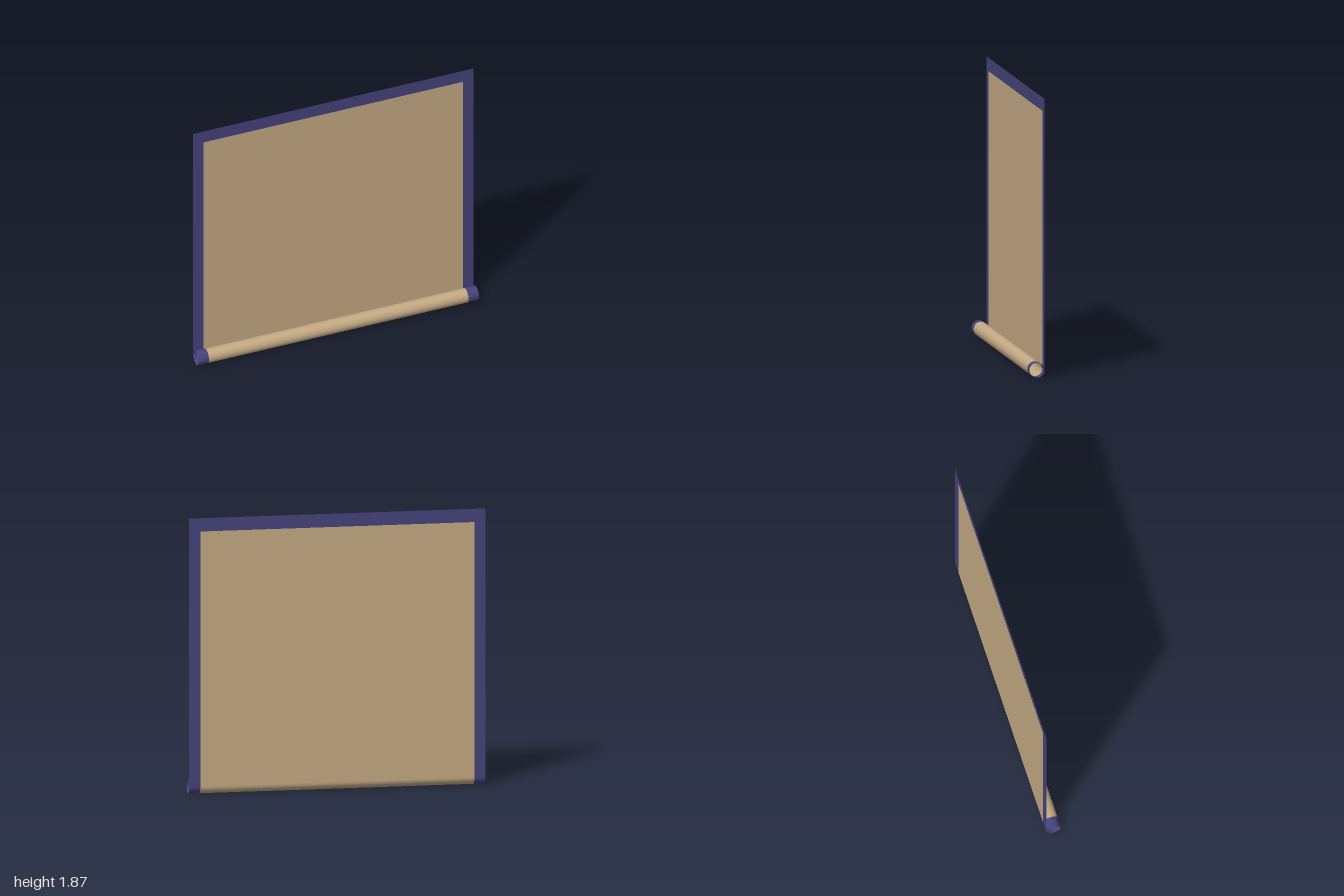
import * as THREE from 'three';

const RADIUS = 0.052, HEIGHT = 1.87, BORDER_Y = 1.78, BORDER_X = 0.925;

// Sweeps a [y, z] profile, listed from top to bottom, straight across from x0 to x1.
function sheet(profile, x0, x1) {
  const positions = [], indices = [];
  profile.forEach(([y, z], j) => {
    positions.push(x0, y, z, x1, y, z);
    if (j > 0) {
      const a = 2 * (j - 1);
      indices.push(a, a + 2, a + 3, a, a + 3, a + 1);
    }
  });
  const geometry = new THREE.BufferGeometry();
  geometry.setAttribute('position', new THREE.Float32BufferAttribute(positions, 3));
  geometry.setIndex(indices);
  geometry.computeVertexNormals();
  return geometry;
}

// One turn under, forward and back over, tightening slightly so it tucks inside the sheet.
function rollProfile() {
  const points = [], steps = 48;
  for (let i = 0; i <= steps; i++) {
    const t = i / steps, angle = t * Math.PI * 2;
    const r = RADIUS - 0.004 * t;
    points.push([RADIUS - r * Math.sin(angle), -r * Math.cos(angle)]);
  }
  return points;
}

export function createModel() {
  const group = new THREE.Group();
  group.name = 'hangingScroll';
  const paper = new THREE.MeshStandardMaterial({ color: 0xc4a983, side: THREE.DoubleSide });
  paper.name = 'tan paper';
  const trim = new THREE.MeshStandardMaterial({ color: 0x45437b, side: THREE.DoubleSide });
  trim.name = 'navy border';

  const add = (name, profile, x0, x1, material) => {
    const mesh = new THREE.Mesh(sheet(profile, x0, x1), material);
    mesh.name = name;
    group.add(mesh);
  };

  const top = [HEIGHT, -RADIUS], inner = [BORDER_Y, -RADIUS], bottom = [RADIUS, -RADIUS];
  const roll = rollProfile();

  // Flat hanging sheet with its top border
  add('topBorder', [top, inner], -BORDER_X, BORDER_X, trim);
  add('paperPanel', [inner, bottom], -BORDER_X, BORDER_X, paper);
  // Curled lower end
  add('paperRoll', roll, -BORDER_X, BORDER_X, paper);

  // Side borders follow the sheet and the curl
  for (const [side, x0, x1] of [['left', BORDER_X, 1], ['right', -1, -BORDER_X]]) {
    add(side + 'Border', [top, bottom], x0, x1, trim);
    add(side + 'RollBorder', roll, x0, x1, trim);
  }
  return group;
}
